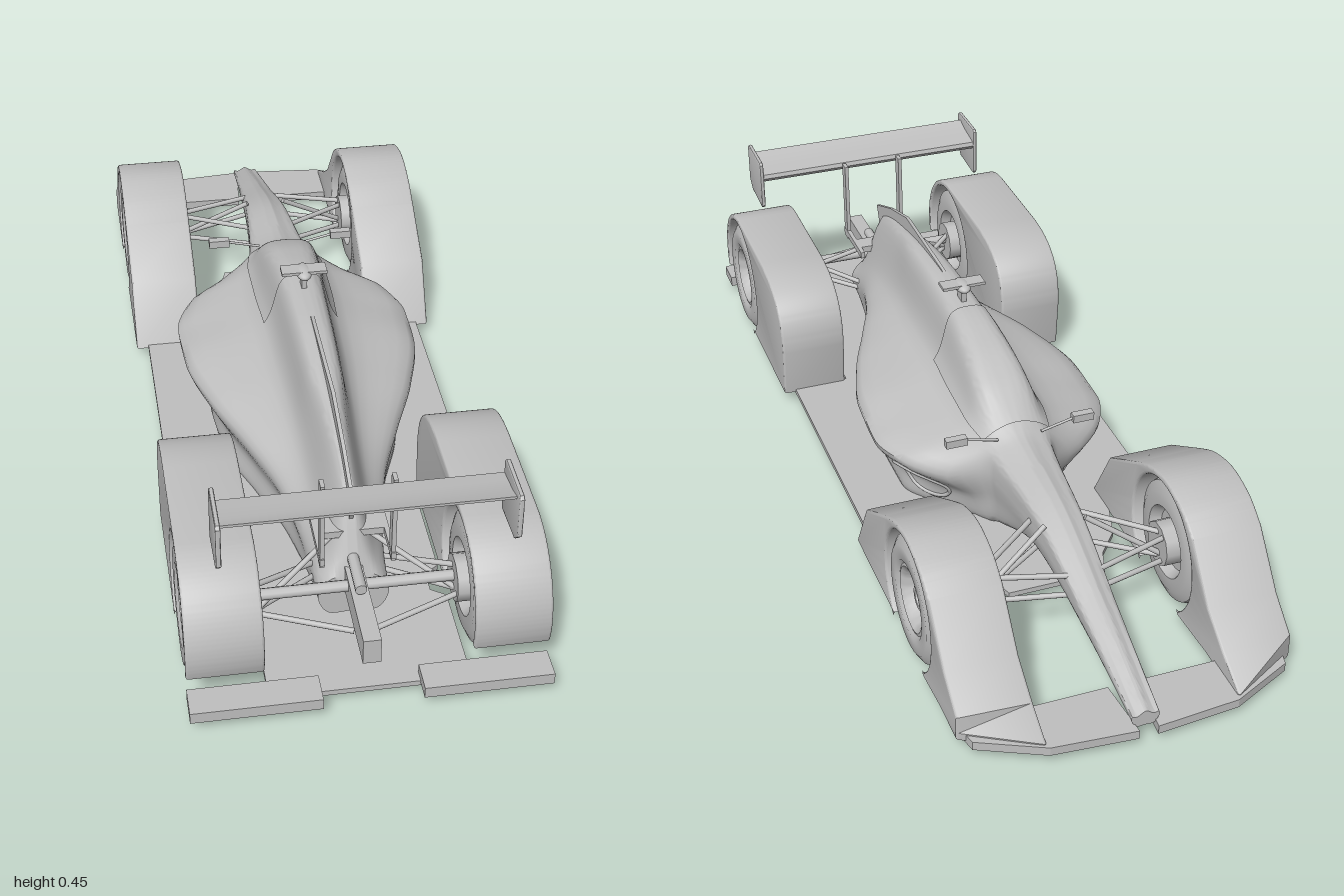
import * as THREE from 'three';
import { toCreasedNormals } from 'three/addons/utils/BufferGeometryUtils.js';

const paint = new THREE.MeshStandardMaterial({ color: 0xc0c0c0, side: THREE.DoubleSide });
paint.name = 'light grey';
const V = (x, y, z) => new THREE.Vector3(x, y, z);

// Body stations: z, yBottom, wBottom, wWaist, yWaist, wPod, yPod, wCowl, yCowl, wTop, yTop
const stations = [
  [-0.98, 0.035, 0.018, 0.026, 0.045, 0.03, 0.055, 0.028, 0.062, 0.018, 0.07],
  [-0.75, 0.085, 0.025, 0.036, 0.105, 0.038, 0.125, 0.036, 0.14, 0.02, 0.157],
  [-0.5, 0.12, 0.035, 0.05, 0.155, 0.052, 0.19, 0.048, 0.22, 0.025, 0.24],
  [-0.3, 0.05, 0.05, 0.065, 0.12, 0.075, 0.19, 0.065, 0.24, 0.035, 0.264],
  [-0.25, 0.03, 0.07, 0.1, 0.1, 0.16, 0.17, 0.08, 0.25, 0.045, 0.29],
  [-0.18, 0.03, 0.13, 0.16, 0.1, 0.235, 0.18, 0.09, 0.255, 0.05, 0.338],
  [-0.08, 0.03, 0.2, 0.21, 0.1, 0.268, 0.18, 0.09, 0.26, 0.045, 0.375],
  [0.05, 0.03, 0.2, 0.215, 0.1, 0.263, 0.19, 0.085, 0.265, 0.038, 0.395],
  [0.2, 0.03, 0.19, 0.19, 0.1, 0.225, 0.19, 0.08, 0.26, 0.034, 0.397],
  [0.35, 0.03, 0.14, 0.14, 0.1, 0.165, 0.185, 0.07, 0.25, 0.03, 0.388],
  [0.5, 0.03, 0.09, 0.095, 0.1, 0.11, 0.17, 0.06, 0.23, 0.018, 0.365],
  [0.68, 0.04, 0.06, 0.075, 0.09, 0.075, 0.13, 0.05, 0.19, 0.012, 0.31],
  [0.76, 0.05, 0.05, 0.07, 0.08, 0.07, 0.11, 0.045, 0.14, 0.02, 0.155],
];

// Smooth interpolation between stations without overshoot
function stationAt(z) {
  let i = 0;
  while (i < stations.length - 2 && z > stations[i + 1][0]) i++;
  const slope = (k, c) => (stations[k + 1][c] - stations[k][c]) / (stations[k + 1][0] - stations[k][0]);
  const tangent = (k, c) => {
    const a = slope(Math.max(k - 1, 0), c), b = slope(Math.min(k, stations.length - 2), c);
    return a * b <= 0 ? 0 : 2 * a * b / (a + b);
  };
  const A = stations[i], B = stations[i + 1], h = B[0] - A[0], t = (z - A[0]) / h;
  return A.map((a, c) => c === 0 ? z : a * (1 + 2 * t) * (1 - t) ** 2 + B[c] * t * t * (3 - 2 * t)
    + h * tangent(i, c) * t * (1 - t) ** 2 + h * tangent(i + 1, c) * t * t * (t - 1));
}

// Closed section curve; twelve control points running bottom, left side, top, right side
function section(z) {
  const [, yB, wB, wU, yU, wP, yP, wC, yC, wT, yT] = stationAt(z);
  const half = [[wB, yB], [wU, yU], [wP, yP], [wC, yC], [wT, yT - 0.01]];
  const ring = [[0, yB], ...half, [0, yT], ...half.map(([x, y]) => [-x, y]).reverse()];
  return new THREE.CatmullRomCurve3(ring.map(([x, y]) => V(x, y, z)), true);
}

// Skin between two z values and two section parameters, optionally lifted and capped
function skin(z0, z1, u0, u1, rows, cols, lift = 0, cap = false) {
  const pos = [], idx = [];
  for (let j = 0; j <= rows; j++) {
    const z = z0 + (z1 - z0) * j / rows, curve = section(z), pts = [];
    for (let i = 0; i <= cols; i++) pts.push(curve.getPoint((u0 + (u1 - u0) * i / cols) % 1));
    const mid = V(0, (curve.getPoint(0).y + curve.getPoint(0.5).y) / 2, z);
    const ring = pts.map(p => p.clone().add(p.clone().sub(mid).setLength(lift)));
    const centre = pts.map(() => mid);
    if (cap && j === 0) pos.push(...centre);
    pos.push(...ring);
    if (cap && j === rows) pos.push(...centre);
  }
  const n = cols + 1;
  for (let j = 0; j < pos.length / n - 1; j++) for (let i = 0; i < cols; i++) {
    const a = j * n + i;
    idx.push(a, a + 1, a + n, a + 1, a + n + 1, a + n);
  }
  const g = new THREE.BufferGeometry().setFromPoints(pos);
  g.setIndex(idx);
  return toCreasedNormals(g, 0.8);
}

export function createModel() {
  const car = new THREE.Group();
  car.name = 'raceCar';
  const add = (name, geo) => {
    const m = new THREE.Mesh(geo, paint);
    m.name = name;
    car.add(m);
    return m;
  };
  const box = (name, w, h, d, x, y, z) => add(name, new THREE.BoxGeometry(w, h, d).translate(x, y, z));
  const rod = (name, a, b, r) => {
    const m = add(name, new THREE.CylinderGeometry(r, r, a.distanceTo(b), 10));
    m.position.copy(a).lerp(b, 0.5);
    m.quaternion.setFromUnitVectors(V(0, 1, 0), b.clone().sub(a).normalize());
  };
  const extrude = (shape, depth, bevel = 0) => new THREE.ExtrudeGeometry(shape, {
    depth: depth - 2 * bevel, curveSegments: 28, bevelEnabled: bevel > 0,
    bevelThickness: bevel, bevelSize: bevel, bevelOffset: -bevel, bevelSegments: 3,
  }).translate(0, 0, bevel);
  // Horizontal plate from an [x, z] outline
  const plate = (name, pts, y0, y1) => add(name,
    extrude(new THREE.Shape(pts.map(([x, z]) => new THREE.Vector2(x, -z))), y1 - y0).rotateX(-Math.PI / 2).translate(0, y0, 0));
  // Upright slab from a shape drawn in (-z, y)
  const slab = (name, shape, x0, x1, bevel = 0) => add(name,
    toCreasedNormals(extrude(shape, x1 - x0, bevel).rotateY(Math.PI / 2).translate(x0, 0, 0), 0.6));
  const sideShape = pts => new THREE.Shape(pts.map(([z, y]) => new THREE.Vector2(-z, y)));

  // Nose, cockpit, side pods and engine cover in one skin, with a raised canopy
  add('body', skin(-0.98, 0.76, 0, 1, 110, 72, 0, true));
  add('canopy', skin(-0.265, 0.05, 4.05 / 12, 7.95 / 12, 24, 30, 0.004));
  slab('spineFin', sideShape([[0.1, 0.35], [0.22, 0.4], [0.49, 0.4], [0.62, 0.36], [0.74, 0.31], [0.7, 0.22], [0.5, 0.25]]), -0.004, 0.004);

  // Floor
  const half = [[0.11, -0.52], [0.13, -0.46], [0.18, -0.4], [0.21, -0.3], [0.33, -0.26], [0.33, 0.39],
    [0.2, 0.39], [0.2, 0.64], [0.17, 0.66], [0.17, 0.71], [0.2, 0.73], [0.2, 0.95], [0.1, 0.96]];
  plate('floor', [...half, ...half.map(([x, z]) => [-x, z]).reverse()], 0.024, 0.036);

  // Rear fender outline around the wheel arch
  const arch = 0.148, low = 0.838;
  const rearShape = new THREE.Shape();
  rearShape.moveTo(-0.691, 0.03);
  rearShape.lineTo(-0.385, 0.03);
  rearShape.lineTo(-0.375, 0.15);
  rearShape.bezierCurveTo(-0.375, 0.25, -0.43, 0.3, -0.56, 0.302);
  rearShape.lineTo(-0.79, 0.302);
  rearShape.absarc(-0.79, 0.14, 0.162, Math.PI / 2, Math.PI + 0.3, false);
  rearShape.absarc(-0.79, 0.14, arch, Math.PI + 0.3, -low, true);

  // Front fender outline, sloping into the front wing
  const frontShape = new THREE.Shape();
  frontShape.moveTo(0.689, 0.03);
  for (const [p, y] of [[0.97, 0.028], [0.975, 0.045], [0.9, 0.085], [0.82, 0.14], [0.73, 0.25]]) frontShape.lineTo(p, y);
  frontShape.splineThru([[0.67, 0.287], [0.59, 0.302], [0.51, 0.285], [0.44, 0.248]].map(p => new THREE.Vector2(...p)));
  frontShape.lineTo(0.31, 0.17);
  frontShape.lineTo(0.23, 0.03);
  frontShape.lineTo(0.491, 0.03);
  frontShape.absarc(0.59, 0.14, arch, Math.PI + low, -low, true);

  // Wheel profile as [radius, offset], inner face to outer face
  const wheelProfile = [[0, 0.235], [0.068, 0.235], [0.08, 0.212], [0.11, 0.212], [0.132, 0.222], [0.14, 0.245],
    [0.14, 0.32], [0.135, 0.342], [0.115, 0.355], [0.085, 0.355], [0.076, 0.348], [0.07, 0.35], [0.06, 0.342],
    [0.05, 0.315], [0.03, 0.315], [0.026, 0.335], [0.017, 0.335], [0.014, 0.325], [0, 0.325]]
    .map(([r, x]) => new THREE.Vector2(r, x));
  const wheelGeo = toCreasedNormals(new THREE.LatheGeometry(wheelProfile, 48).rotateZ(-Math.PI / 2), 0.7);

  for (const s of [1, -1]) {
    const side = s > 0 ? 'left' : 'right';
    const span = (a, b) => s > 0 ? [a, b] : [-b, -a];
    const P = (x, y, z) => V(s * x, y, z);

    slab(side + 'RearFender', rearShape, ...span(0.205, 0.358), 0.005);
    const front = slab(side + 'FrontFender', frontShape, ...span(0.203, 0.358), 0.005);
    // Sweep the front fender back towards its outer corner
    const p = front.geometry.attributes.position;
    for (let i = 0; i < p.count; i++) {
      const t = Math.max(0, (Math.abs(p.getX(i)) - 0.2) / 0.155);
      p.setZ(i, Math.max(p.getZ(i), -0.98 + 0.09 * t));
    }
    front.geometry = toCreasedNormals(front.geometry, 0.6);
    plate(side + 'FrontWing', [[0.02, -1], [0.2, -0.985], [0.335, -0.92], [0.348, -0.865], [0.03, -0.865]]
      .map(([x, z]) => [s * x, z]), 0.022, 0.042);

    // Wheels, hubs and axles
    for (const [name, z] of [['Front', -0.59], ['Rear', 0.79]]) {
      const w = add(side + name + 'Wheel', wheelGeo);
      w.position.set(0, 0.14, z);
      w.rotation.y = s > 0 ? 0 : Math.PI;
      rod(side + name + 'Hub', P(0.195, 0.14, z), P(0.24, 0.14, z), 0.05);
    }
    // Suspension arms
    const arms = [
      [[0.035, 0.17, -0.66], [0.2, 0.17, -0.61]], [[0.045, 0.19, -0.48], [0.2, 0.17, -0.59]],
      [[0.03, 0.12, -0.66], [0.2, 0.11, -0.61]], [[0.04, 0.13, -0.5], [0.2, 0.11, -0.59]],
      [[0.045, 0.22, -0.55], [0.2, 0.12, -0.6]], [[0.06, 0.12, 0.68], [0.2, 0.165, 0.78]],
      [[0.07, 0.1, 0.7], [0.2, 0.12, 0.8]], [[0.018, 0.225, 0.7], [0.2, 0.12, 0.8]],
      [[0.02, 0.11, 0.88], [0.2, 0.125, 0.82]],
    ];
    for (const [a, b] of arms) rod(side + 'SuspensionArm', P(...a), P(...b), 0.006);
    rod(side + 'DriveShaft', P(0, 0.147, 0.79), P(0.2, 0.147, 0.79), 0.012);

    // Mirror, side pod inlet lip and diffuser flap
    box(side + 'Mirror', 0.048, 0.018, 0.018, s * 0.146, 0.28, -0.285);
    rod(side + 'MirrorStalk', P(0.05, 0.262, -0.285), P(0.125, 0.28, -0.285), 0.003);
    const lip = Array.from({ length: 14 }, (_, i) => {
      const a = i / 14 * Math.PI * 2, q = section(-0.16 + 0.05 * Math.cos(a)).getPoint((2.1 + 0.6 * Math.sin(a)) / 12);
      return P(q.x, q.y, q.z);
    });
    add(side + 'InletLip', new THREE.TubeGeometry(new THREE.CatmullRomCurve3(lip, true), 50, 0.005, 6, true));
    box(side + 'DiffuserFlap', 0.258, 0.025, 0.065, s * 0.228, 0.043, 0.9675);

    // Rear wing end plate and strut
    slab(side + 'EndPlate', sideShape([[0.8, 0.44], [0.806, 0.446], [0.915, 0.446], [0.922, 0.44], [0.922, 0.35],
      [0.9, 0.328], [0.805, 0.322], [0.8, 0.328]]), ...span(0.28, 0.29), 0.003);
    box(side + 'WingStrut', 0.009, 0.205, 0.024, s * 0.071, 0.31, 0.785);
    box(side + 'StrutRail', 0.01, 0.016, 0.15, s * 0.071, 0.222, 0.725);
  }

  // Rear wing, strut beam, gearbox, exhaust and roof camera
  slab('rearWing', sideShape([[0.8, 0.402], [0.803, 0.412], [0.83, 0.416], [0.87, 0.422], [0.9, 0.432],
    [0.9, 0.426], [0.86, 0.405], [0.83, 0.393], [0.808, 0.392]]), -0.284, 0.284);
  box('strutBeam', 0.15, 0.016, 0.045, 0, 0.222, 0.7);
  box('gearbox', 0.036, 0.058, 0.26, 0, 0.134, 0.835);
  rod('exhaust', V(0, 0.178, 0.66), V(0, 0.178, 0.84), 0.012);
  box('cameraStalk', 0.012, 0.04, 0.03, 0, 0.41, 0.09);
  add('camera', new THREE.SphereGeometry(1, 20, 12).scale(0.018, 0.012, 0.032).translate(0, 0.43, 0.09));
  box('cameraWing', 0.1, 0.007, 0.035, 0, 0.436, 0.09);
  return car;
}
